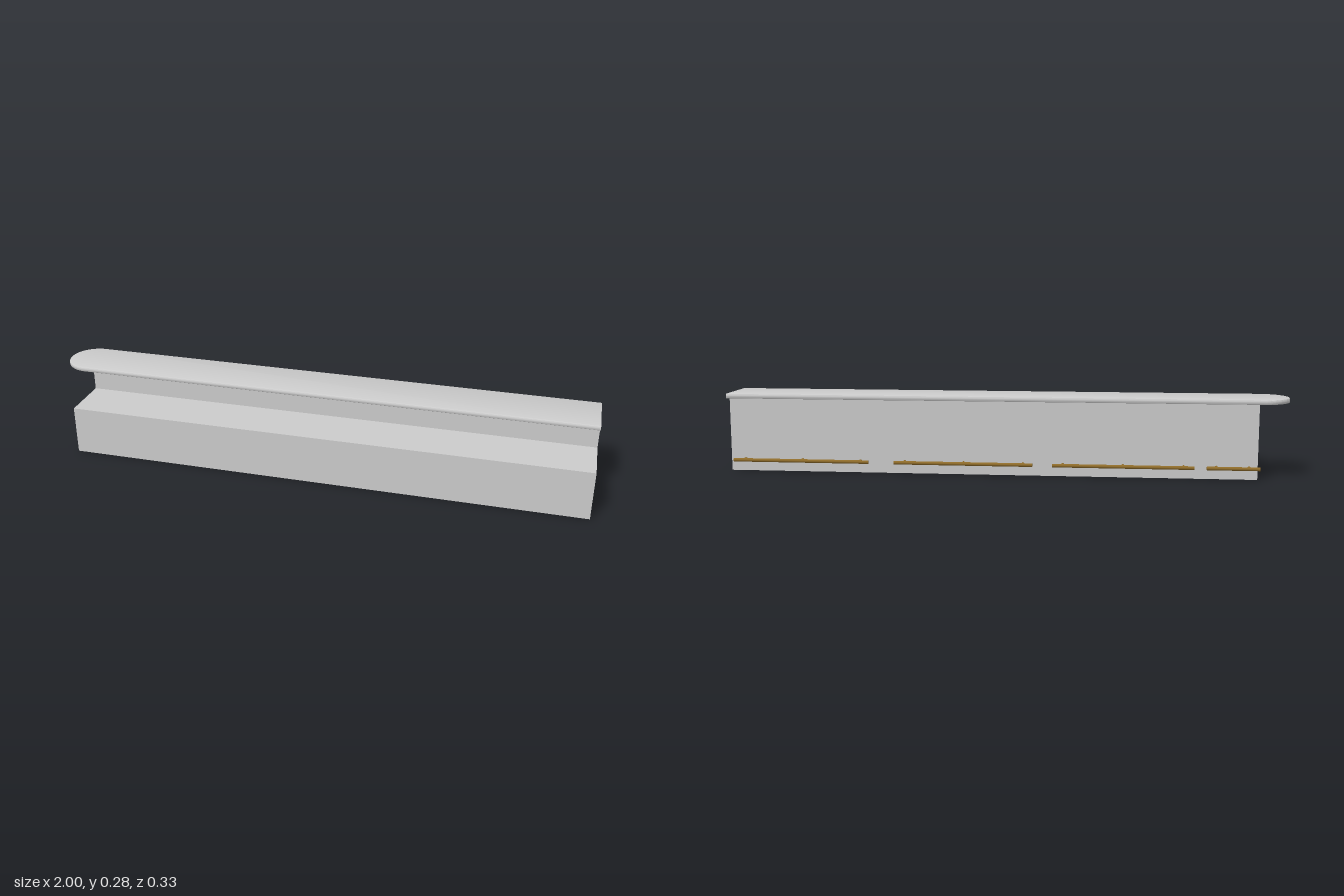
import * as THREE from 'three';
import { toCreasedNormals } from 'three/addons/utils/BufferGeometryUtils.js';

const LEFT_END = -0.89, BACK = -0.127;
const grey = new THREE.MeshStandardMaterial({ color: 0xcccccc });
const brass = new THREE.MeshStandardMaterial({ color: 0x8f6c2a });

function addMesh(parent, name, geometry, material) {
  const mesh = new THREE.Mesh(geometry, material);
  mesh.name = name;
  parent.add(mesh);
  return mesh;
}

// Stepped counter body: an L-shaped (-z, y) section swept along x
function bodyGeometry() {
  const section = [[-0.165, 0], [0.127, 0], [0.127, 0.269], [0.019, 0.269], [0.019, 0.179], [-0.165, 0.179]];
  const shape = new THREE.Shape(section.map(([u, v]) => new THREE.Vector2(u, v)));
  const geometry = new THREE.ExtrudeGeometry(shape, { depth: 1 - LEFT_END, bevelEnabled: false });
  return geometry.rotateY(Math.PI / 2).translate(LEFT_END, 0, 0);
}

// Slab with one round end, softened edges and a flat cut at x = 1
function topGeometry() {
  const r = 0.096, centre = 0.067, bevel = 0.004, thick = 0.005;
  const shape = new THREE.Shape();
  shape.moveTo(1, centre - r);
  shape.lineTo(1, centre + r);
  shape.lineTo(r - 1, centre + r);
  shape.absarc(r - 1, centre, r, Math.PI / 2, Math.PI * 1.5, false);
  const geometry = new THREE.ExtrudeGeometry(shape, {
    depth: 0.017 - 2 * thick, curveSegments: 32,
    bevelSize: bevel, bevelOffset: -bevel, bevelThickness: thick, bevelSegments: 3,
  });
  geometry.rotateX(-Math.PI / 2).translate(0, 0.268 + thick, 0);
  // Flatten the bevel at the straight end
  const pos = geometry.attributes.position;
  for (let i = 0; i < pos.count; i++) if (pos.getX(i) > 0.5) pos.setX(i, 1);
  geometry.computeVertexNormals();
  return toCreasedNormals(geometry, 0.7);
}

// Foot rail from x0 to x1 on evenly spaced wall brackets
function footRail(x0, x1, brackets) {
  const rail = new THREE.Group();
  rail.name = 'footRail';
  const y = 0.043, z = -0.155, inset = 0.035;
  const bar = addMesh(rail, 'railBar', new THREE.CylinderGeometry(0.0065, 0.0065, x1 - x0, 16), brass);
  bar.rotation.z = Math.PI / 2;
  bar.position.set((x0 + x1) / 2, y, z);
  for (let i = 0; i < brackets; i++) {
    const length = BACK - z;
    const bracket = addMesh(rail, 'railBracket', new THREE.CylinderGeometry(0.005, 0.005, length, 12), brass);
    bracket.rotation.x = Math.PI / 2;
    const x = THREE.MathUtils.lerp(x0 + inset, x1 - inset, i / (brackets - 1));
    bracket.position.set(x, y, z + length / 2);
  }
  return rail;
}

export function createModel() {
  const model = new THREE.Group();
  model.name = 'barCounter';
  addMesh(model, 'counterBody', bodyGeometry(), grey);
  addMesh(model, 'counterTop', topGeometry(), grey);

  // Three full rails and a short one at the round end
  const rails = [[0.485, 0.982, 3], [-0.105, 0.392, 3], [-0.67, -0.176, 3], [-0.895, -0.713, 2]];
  for (const [x0, x1, brackets] of rails) model.add(footRail(x0, x1, brackets));
  return model;
}
